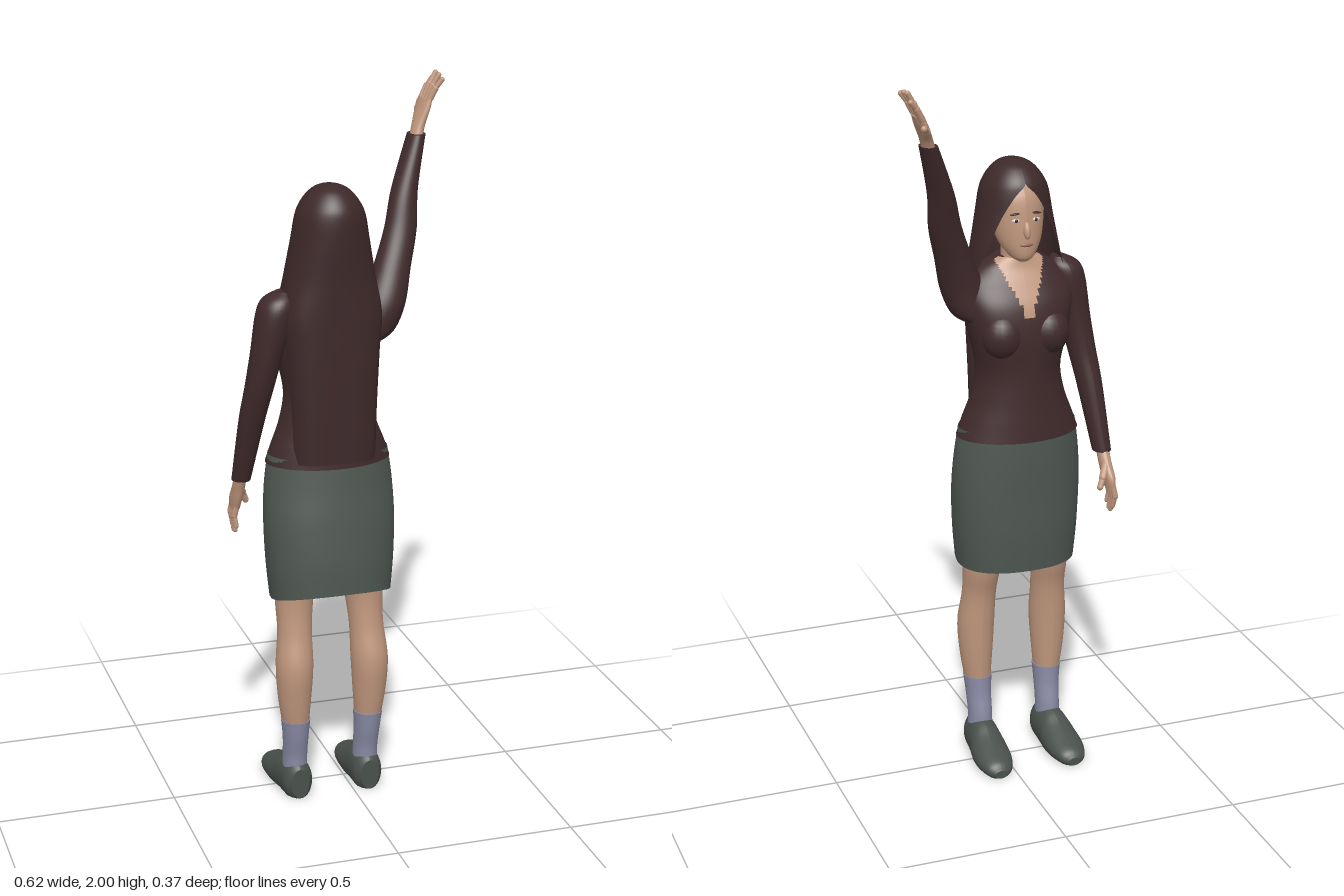
import * as THREE from 'three';

const mat = (name, color, side = THREE.FrontSide) => {
  const m = new THREE.MeshStandardMaterial({ color, side });
  m.name = name;
  return m;
};

// Smooth interpolation through one column of a section table
function spline(rows, t, k, def) {
  const i = Math.min(Math.floor(t), rows.length - 2), f = t - i;
  const v = j => rows[Math.max(0, Math.min(rows.length - 1, j))][k] ?? def;
  const a = v(i - 1), b = v(i), c = v(i + 1), d = v(i + 2);
  return b + 0.5 * f * (c - a + f * (2 * a - 5 * b + 4 * c - d + f * (3 * (b - c) + d - a)));
}

// Loft of rings, sections: [y, cx, cz, rx, rz, halfAngle = PI, exponent = 2], y ascending.
// The ring starts at the back (+z). pick(x, y, z) may choose a material index per face.
function loft(sections, { seg = 32, sub = 6, cap = true, warp, pick } = {}) {
  const rings = [];
  const n = (sections.length - 1) * sub;
  for (let i = 0; i <= n; i++) {
    const t = i / sub;
    rings.push([0, 1, 2, 3, 4, 5, 6].map(k => spline(sections, t, k, k === 5 ? Math.PI : 2)));
  }
  if (cap) {
    const shrink = r => r.map((v, k) => (k === 3 || k === 4 ? v * 0.01 : v));
    const a = rings[0], b = rings[n];
    rings.unshift(shrink(a), a);
    rings.push(b, shrink(b));
  }
  const pos = [], faces = [[], []];
  const pw = (v, e) => Math.sign(v) * Math.pow(Math.abs(v), 2 / e);
  for (const [y, cx, cz, rx, rz, A, e] of rings) {
    for (let j = 0; j <= seg; j++) {
      const a = -Math.min(A, Math.PI) + (2 * Math.min(A, Math.PI) * j) / seg;
      const p = [cx + rx * pw(Math.sin(a), e), y, cz + rz * pw(Math.cos(a), e)];
      if (warp) warp(p, a);
      pos.push(...p);
    }
  }
  const w = seg + 1;
  for (let i = 0; i < rings.length - 1; i++) {
    for (let j = 0; j < seg; j++) {
      const a = i * w + j, b = a + 1, c = a + w, d = c + 1;
      const mid = k => (pos[a * 3 + k] + pos[d * 3 + k]) / 2;
      faces[pick ? pick(mid(0), mid(1), mid(2)) : 0].push(a, b, c, b, d, c);
    }
  }
  const g = new THREE.BufferGeometry();
  g.setAttribute('position', new THREE.Float32BufferAttribute(pos, 3));
  g.setIndex([...faces[0], ...faces[1]]);
  if (pick) {
    g.addGroup(0, faces[0].length, 0);
    g.addGroup(faces[0].length, faces[1].length, 1);
  }
  g.computeVertexNormals();
  return g;
}

export function createModel() {
  const skin = mat('skin', 0xc0977d);
  const shirt = mat('dark maroon cloth', 0x402a2c, THREE.DoubleSide);
  const hairMat = mat('dark hair', 0x3e292a, THREE.DoubleSide);
  const skirtMat = mat('grey green cloth', 0x4e5751, THREE.DoubleSide);
  const shoeMat = mat('grey green shoe', 0x4a514c);
  const sockMat = mat('lavender sock', 0x8b8ba6);
  const eyeMat = mat('eye white', 0xd8d2cc);
  const lipMat = mat('lip', 0x9c6a5c);

  const model = new THREE.Group();
  const add = (name, geo, m, parent = model) => {
    const mesh = new THREE.Mesh(geo, m);
    mesh.name = name;
    parent.add(mesh);
    return mesh;
  };
  const ball = (name, m, [x, y, z], [rx, ry, rz], parent = model) => {
    const b = add(name, new THREE.SphereGeometry(1, 20, 14), m, parent);
    b.position.set(x, y, z);
    b.scale.set(rx, ry, rz);
    return b;
  };
  const bone = (name, from, to, r, parent) => {
    const a = new THREE.Vector3(...from), b = new THREE.Vector3(...to), d = b.clone().sub(a);
    const c = add(name, new THREE.CapsuleGeometry(r, d.length(), 5, 10), skin, parent);
    c.position.copy(a).add(b).multiplyScalar(0.5);
    c.quaternion.setFromUnitVectors(new THREE.Vector3(0, 1, 0), d.normalize());
  };
  // Finger of two bones with a slight bend
  const finger = (from, mid, to, r, parent) => {
    bone('fingerBase', from, mid, r, parent);
    bone('fingerTip', mid, to, r * 0.82, parent);
  };
  const X = -0.058;

  // Blouse, with an open neckline showing the chest
  add('blouse', loft([
    [0.985, X, 0.04, 0.174, 0.114], [1.03, X, 0.04, 0.158, 0.11], [1.1, X, 0.037, 0.132, 0.102],
    [1.18, X, 0.035, 0.12, 0.098], [1.28, X, 0.034, 0.138, 0.1, Math.PI, 2.4],
    [1.36, X, 0.042, 0.152, 0.096, Math.PI, 2.4], [1.42, X, 0.052, 0.15, 0.078],
    [1.46, X, 0.058, 0.11, 0.062], [1.49, X, 0.055, 0.058, 0.05],
  ], {
    seg: 96, sub: 10,
    pick: (x, y, z) => (z < 0.04 && Math.abs(x - X) < (y - 1.32) * 0.42 ? 1 : 0),
  }), [shirt, skin]);
  for (const s of [-1, 1]) ball('bust', shirt, [X + s * 0.066, 1.285, -0.025], [0.058, 0.065, 0.052]);

  // Raised left sleeve and lowered right sleeve
  add('leftSleeve', loft([
    [1.31, 0.05, 0.05, 0.035, 0.045], [1.34, 0.072, 0.05, 0.056, 0.055], [1.41, 0.096, 0.05, 0.062, 0.055],
    [1.5, 0.128, 0.028, 0.052, 0.045], [1.6, 0.162, -0.002, 0.045, 0.038], [1.7, 0.183, -0.032, 0.036, 0.037],
    [1.84, 0.229, -0.073, 0.024, 0.035],
  ]), shirt);
  add('rightSleeve', loft([
    [0.92, -0.284, -0.03, 0.026, 0.03], [1.1, -0.265, 0.018, 0.035, 0.041], [1.2, -0.25, 0.045, 0.039, 0.046],
    [1.3, -0.232, 0.06, 0.044, 0.052], [1.4, -0.212, 0.065, 0.051, 0.058], [1.445, -0.2, 0.065, 0.046, 0.05],
    [1.468, -0.188, 0.065, 0.02, 0.025],
  ]), shirt);

  // Hands
  const leftHand = new THREE.Group(), rightHand = new THREE.Group();
  leftHand.name = 'leftHand';
  rightHand.name = 'rightHand';
  model.add(leftHand, rightHand);
  add('palm', loft([
    [1.82, 0.225, -0.07, 0.018, 0.024], [1.86, 0.238, -0.083, 0.017, 0.027],
    [1.9, 0.256, -0.102, 0.016, 0.042], [1.93, 0.268, -0.108, 0.013, 0.04],
  ], { seg: 20 }), skin, leftHand);
  [[-0.078, -0.07, 1.982], [-0.1, -0.097, 1.99], [-0.12, -0.125, 1.993], [-0.14, -0.152, 1.975]].forEach(([z0, z1, y]) =>
    finger([0.266, 1.925, z0], [0.283, (1.925 + y) / 2 + 0.005, (z0 + z1) / 2], [0.3, y, z1], 0.0088, leftHand));
  finger([0.246, 1.875, -0.108], [0.258, 1.895, -0.145], [0.273, 1.91, -0.175], 0.011, leftHand);
  add('palm', loft([
    [0.825, -0.291, -0.078, 0.013, 0.03], [0.855, -0.289, -0.07, 0.016, 0.035],
    [0.89, -0.286, -0.052, 0.017, 0.028], [0.935, -0.284, -0.03, 0.018, 0.022],
  ], { seg: 20 }), skin, rightHand);
  [[-0.054, -0.054, 0.775], [-0.069, -0.068, 0.76], [-0.084, -0.08, 0.758], [-0.099, -0.095, 0.772]].forEach(([z0, z1, y]) =>
    finger([-0.291, 0.835, z0], [-0.297, (0.835 + y) / 2, z0 - 0.004], [-0.293, y, z1], 0.0085, rightHand));
  finger([-0.28, 0.885, -0.07], [-0.265, 0.86, -0.09], [-0.254, 0.835, -0.097], 0.011, rightHand);

  // Skirt, open below and a little shorter at the back
  add('skirt', loft([
    [0.597, X, 0.062, 0.168, 0.126, Math.PI, 2.4], [0.7, X, 0.058, 0.178, 0.127, Math.PI, 2.3],
    [0.82, X, 0.053, 0.183, 0.121, Math.PI, 2.2], [0.92, X, 0.046, 0.18, 0.114], [1.01, X, 0.042, 0.168, 0.106],
  ], {
    seg: 48, cap: false,
    warp: (p, a) => { p[1] += 0.036 * Math.max(0, Math.cos(a)) * Math.max(0, 1 - (p[1] - 0.597) / 0.2); },
  }), skirtMat);

  // Legs, socks and shoes, mirrored about the body centre
  for (const s of [-1, 1]) {
    const side = s < 0 ? 'right' : 'left';
    const at = d => X + s * d;
    add(side + 'Leg', loft([
      [0.2, at(0.105), 0.076, 0.034, 0.04], [0.3, at(0.109), 0.08, 0.046, 0.051], [0.4, at(0.109), 0.081, 0.052, 0.058],
      [0.5, at(0.104), 0.066, 0.048, 0.052], [0.6, at(0.1), 0.05, 0.054, 0.061], [0.78, at(0.09), 0.05, 0.066, 0.075],
    ]), skin);
    add(side + 'Sock', loft([
      [0.06, at(0.104), 0.06, 0.035, 0.042], [0.12, at(0.104), 0.062, 0.034, 0.042],
      [0.18, at(0.105), 0.073, 0.036, 0.043], [0.235, at(0.106), 0.078, 0.041, 0.046],
    ]), sockMat);
    const shoe = loft([
      [-0.142, at(0.112), -0.014, 0.018, 0.012], [-0.125, at(0.111), -0.02, 0.038, 0.025],
      [-0.08, at(0.11), -0.026, 0.052, 0.036], [-0.03, at(0.108), -0.032, 0.053, 0.05],
      [0.01, at(0.106), -0.04, 0.048, 0.063], [0.05, at(0.104), -0.045, 0.045, 0.064],
      [0.09, at(0.103), -0.045, 0.041, 0.06], [0.113, at(0.103), -0.045, 0.026, 0.044],
    ]).rotateX(Math.PI / 2);
    const p = shoe.attributes.position;
    for (let i = 0; i < p.count; i++) p.setY(i, Math.max(0, p.getY(i)));
    shoe.computeVertexNormals();
    add(side + 'Shoe', shoe, shoeMat);
  }

  // Neck and head
  add('neck', loft([
    [1.38, X, 0.04, 0.062, 0.055], [1.45, X, 0.045, 0.045, 0.046], [1.54, X, 0.05, 0.042, 0.046],
  ]), skin);
  add('head', loft([
    [1.485, X, -0.002, 0.015, 0.016], [1.5, X, 0.01, 0.036, 0.04], [1.54, X, 0.03, 0.06, 0.063],
    [1.6, X, 0.05, 0.073, 0.081], [1.66, X, 0.056, 0.074, 0.078], [1.705, X, 0.062, 0.055, 0.058],
  ]), skin);

  // Face details
  const nose = ball('nose', skin, [X, 1.575, -0.034], [0.01, 0.024, 0.012]);
  nose.rotation.x = 0.25;
  ball('lips', lipMat, [X, 1.535, -0.032], [0.019, 0.006, 0.005]);
  for (const s of [-1, 1]) {
    ball('eye', eyeMat, [X + s * 0.028, 1.602, -0.0245], [0.012, 0.0055, 0.005]);
    ball('iris', hairMat, [X + s * 0.028, 1.602, -0.0275], [0.005, 0.005, 0.003]);
    ball('eyebrow', hairMat, [X + s * 0.029, 1.62, -0.0235], [0.016, 0.003, 0.004]).rotation.z = -s * 0.12;
  }

  // Long hair framing the face and hanging down the back
  add('hair', loft([
    [1.0, X, 0.06, 0.118, 0.096, 1.25, 3.6], [1.15, X, 0.06, 0.122, 0.098, 1.3, 3.6],
    [1.3, X, 0.06, 0.13, 0.1, 1.4, 3.4], [1.4, X, 0.06, 0.138, 0.101, 1.6, 3], [1.5, X, 0.062, 0.122, 0.102, 2.1, 2.4],
    [1.6, X, 0.068, 0.105, 0.102, 2.45, 2.1], [1.665, X, 0.07, 0.094, 0.1, 2.8], [1.7, X, 0.07, 0.079, 0.091],
    [1.73, X, 0.071, 0.055, 0.066], [1.745, X, 0.072, 0.03, 0.038], [1.75, X, 0.072, 0.002, 0.002],
  ], { seg: 56, cap: false }), hairMat);

  return model;
}
